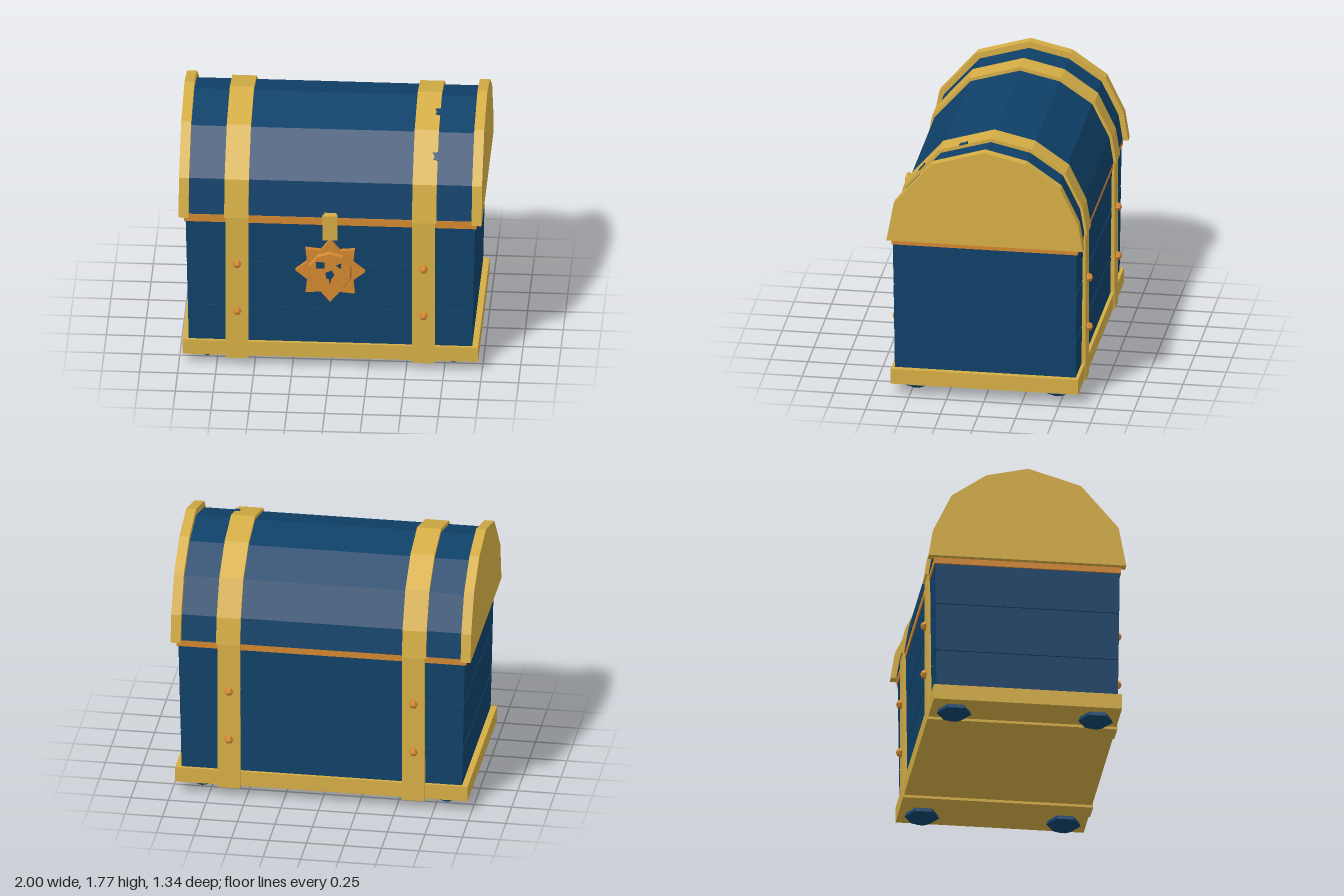
import * as THREE from 'three';

const mat = (name, color) => {
  const m = new THREE.MeshStandardMaterial({ color });
  m.name = name;
  return m;
};

// Half outline of the domed lid, [z, height above the rim], front to back
const DOME = [[0.65, 0], [0.6, 0.27], [0.35, 0.56], [0, 0.665], [-0.28, 0.6], [-0.51, 0.44], [-0.63, 0.19], [-0.66, 0]];

export function createModel() {
  const chest = new THREE.Group();
  chest.name = 'treasureChest';
  const blue = mat('blueWood', 0x0f4068);
  const gold = mat('goldMetal', 0xd4ad45);
  const copper = mat('copperMetal', 0xd1862f);

  const add = (name, geometry, material, x = 0, y = 0, z = 0) => {
    const flat = geometry.index ? geometry.toNonIndexed() : geometry;
    flat.computeVertexNormals();
    const mesh = new THREE.Mesh(flat, material);
    mesh.name = name;
    mesh.position.set(x, y, z);
    chest.add(mesh);
    return mesh;
  };
  const block = (name, material, w, y0, y1, d, x = 0, z = 0) =>
    add(name, new THREE.BoxGeometry(w, y1 - y0, d), material, x, (y0 + y1) / 2, z);
  const polygon = (pts) => new THREE.Shape(pts.map(([x, y]) => new THREE.Vector2(x, y)));
  const plate = (shape, depth) => new THREE.ExtrudeGeometry(shape, { depth, bevelEnabled: false });

  // Dome slice running along x
  const dome = (name, material, x, width, sz, sy, y = 1.11) => {
    const g = plate(polygon(DOME.map(([z, h]) => [z * sz, h * sy])), width);
    g.translate(0, 0, -width / 2);
    g.rotateY(-Math.PI / 2);
    return add(name, g, material, x, y, 0);
  };

  // Body: three planks that widen upwards, over a slightly smaller core
  const halfW = (y) => 0.935 + (y - 0.18) * 0.022;
  const halfD = (y) => 0.603 + (y - 0.18) * 0.011;
  const plank = (name, y0, y1, inset) => {
    const g = new THREE.BoxGeometry(2, y1 - y0, 2);
    const p = g.attributes.position;
    for (let i = 0; i < p.count; i++) {
      const y = p.getY(i) > 0 ? y1 : y0;
      p.setX(i, p.getX(i) * (halfW(y) - inset));
      p.setZ(i, p.getZ(i) * (halfD(y) - inset));
    }
    add(name, g, blue, 0, (y0 + y1) / 2, 0);
  };
  plank('bodyCore', 0.17, 1.08, 0.01);
  [[0.18, 0.44], [0.452, 0.775], [0.787, 1.08]].forEach(([a, b]) => plank('bodyPlank', a, b, 0));

  // Base tray and lid rim
  block('baseTray', gold, 1.95, 0.08, 0.185, 1.25);
  block('rim', copper, 1.93, 1.07, 1.122, 1.24);

  // Lid
  dome('lid', blue, 0, 1.88, 0.945, 0.925, 1.115);

  for (const s of [-1, 1]) {
    // End caps, lid bands and body straps
    dome('lidEndCap', gold, s * 0.967, 0.066, 1, 1);
    dome('lidBand', gold, s * 0.62, 0.16, 0.975, 0.97);
    block('bodyStrap', gold, 0.15, 0.062, 1.12, 1.262, s * 0.615);

    for (const f of [-1, 1]) {
      // Rivets
      for (const y of [0.42, 0.77]) {
        const g = new THREE.SphereGeometry(0.032, 6, 4);
        g.rotateX(Math.PI / 2);
        add('rivet', g, copper, s * 0.615, y, f * 0.637);
      }
      // Faceted feet
      const profile = [[0, 0], [0.03, 0.006], [0.115, 0.05], [0.1, 0.085]].map(([r, y]) => new THREE.Vector2(r, y));
      add('foot', new THREE.LatheGeometry(profile, 6), blue, s * 0.815, 0, f * 0.47);
    }
  }

  // Worn chips on the edge of one lid band, lying on the dome facets
  for (const [i, t] of [[2, 0.47], [1, 0.52]]) {
    const [a, b] = [DOME[i], DOME[i + 1]].map(([z, h]) => new THREE.Vector2(z * 0.975, h * 0.97));
    const c = a.clone().lerp(b, t);
    const chip = add('bandChip', plate(polygon([[0.004, -0.03], [0.004, 0.03], [-0.035, 0.025], [-0.02, 0], [-0.03, -0.02]].reverse()), 0.006),
      blue, 0.7, 1.11 + c.y, c.x);
    chip.rotation.x = -Math.atan2(a.x - b.x, b.y - a.y);
  }

  // Latch
  const latch = block('latch', gold, 0.1, 0.98, 1.165, 0.02, 0, 0.66);
  latch.rotation.x = 0.05;
  block('latchMount', gold, 0.08, 1.115, 1.155, 0.07, 0, 0.625);

  // Sun emblem: eight-pointed star, faceted disc and face marks
  const star = [];
  for (let i = 0; i < 16; i++) {
    const r = i % 2 ? 0.165 : 0.23;
    const a = (i * Math.PI) / 8;
    star.push([r * Math.cos(a), r * Math.sin(a)]);
  }
  add('sunRays', plate(polygon(star), 0.033), copper, 0, 0.737, 0.61);
  const disc = new THREE.CylinderGeometry(0.14, 0.155, 0.035, 10);
  disc.rotateX(Math.PI / 2);
  add('sunDisc', disc, copper, 0, 0.737, 0.648);
  const marks = {
    sunRightEye: [[-0.09, 0.77], [-0.035, 0.77], [-0.035, 0.815], [-0.09, 0.815]],
    sunLeftEye: [[0.04, 0.792], [0.072, 0.77], [0.076, 0.812]],
    sunMouth: [[0, 0.652], [0.008, 0.69], [0.03, 0.722], [0.012, 0.755], [-0.028, 0.738], [-0.026, 0.7], [-0.006, 0.69]],
  };
  for (const [name, pts] of Object.entries(marks)) add(name, plate(polygon(pts), 0.006), blue, 0, 0, 0.663);

  return chest;
}
